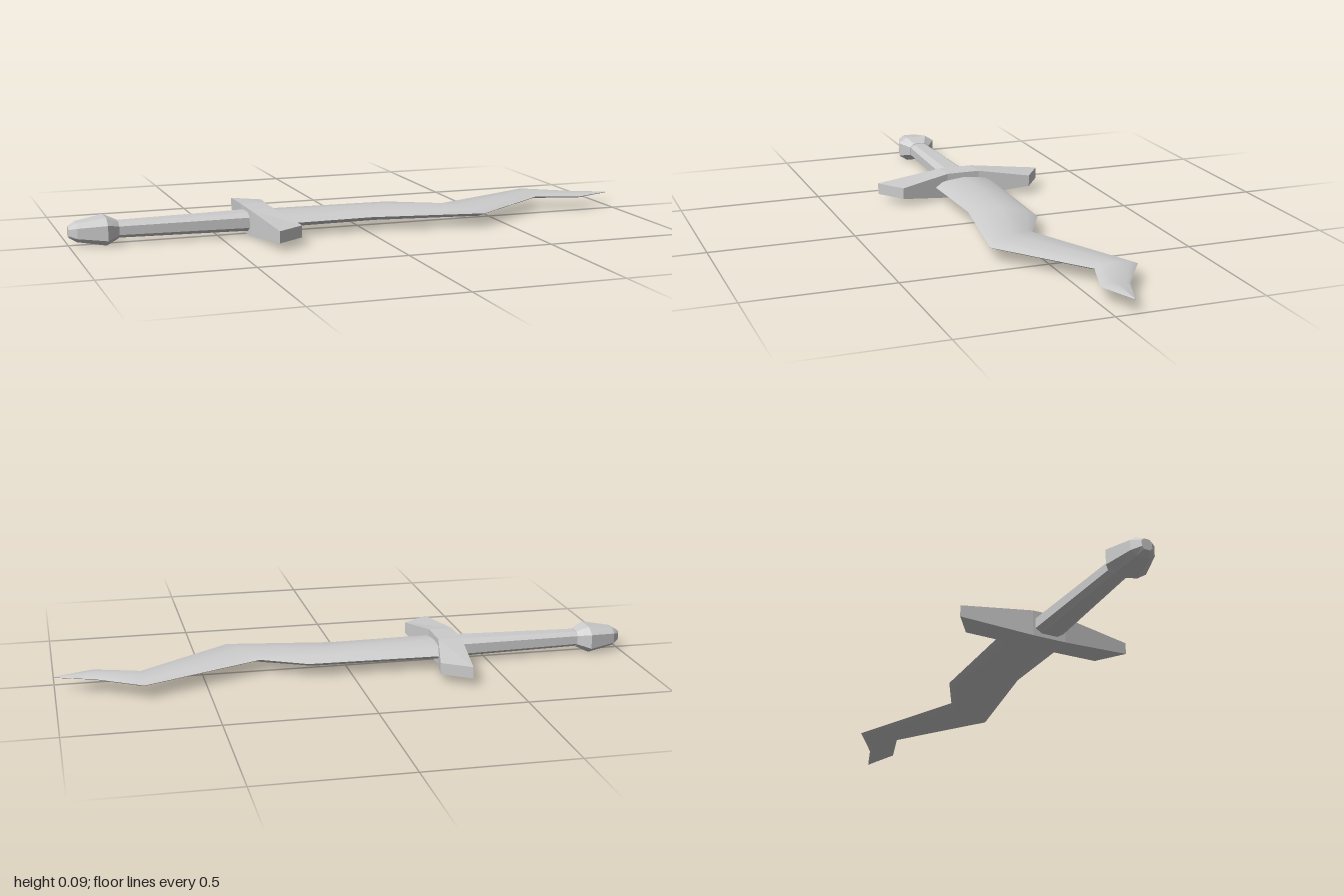
import * as THREE from 'three';
import { toCreasedNormals } from 'three/addons/utils/BufferGeometryUtils.js';

const MID = 0.046; // height of the sword's middle plane

// Skin a list of rings (each counter-clockwise about the direction of travel) and cap both ends
function loft(rings) {
  const n = rings[0].length;
  const index = [];
  for (let i = 0; i < rings.length - 1; i++) {
    for (let j = 0; j < n; j++) {
      const k = (j + 1) % n;
      const a = i * n + j, b = i * n + k, c = a + n, d = b + n;
      index.push(a, b, c, b, d, c);
    }
  }
  const last = (rings.length - 1) * n;
  for (let j = 1; j < n - 1; j++) {
    index.push(0, j + 1, j, last, last + j, last + j + 1);
  }
  const geometry = new THREE.BufferGeometry();
  geometry.setAttribute('position', new THREE.Float32BufferAttribute(rings.flat(2), 3));
  geometry.setIndex(index);
  return geometry;
}

// Chamfered rectangle across x, with half height h and half width w
function octagon(x, h, w, c = 0.55) {
  return [[1, -c], [1, c], [c, 1], [-c, 1], [-1, c], [-1, -c], [-c, -1], [c, -1]]
    .map(([y, z]) => [x, MID + y * h, z * w]);
}

// Blade section from back edge to front edge: ridge, shoulders and sharp edges
function bladeRing([bx, bz, fx, fz, h]) {
  const at = (t, y) => [
    THREE.MathUtils.lerp(bx, fx, t), MID + 0.001 + y * h, THREE.MathUtils.lerp(bz, fz, t),
  ];
  return [at(0, 0), at(0.13, 0.65), at(0.5, 1), at(0.87, 0.65),
    at(1, 0), at(0.87, -0.65), at(0.5, -1), at(0.13, -0.65)];
}

// Guard section across z; the ends are cut at a slant
function guardRing(back, front, backZ, frontZ, h) {
  return [[back, MID - h, backZ], [front, MID - h, frontZ],
    [front, MID + h, frontZ], [back, MID + h, backZ]];
}

export function createModel() {
  const group = new THREE.Group();
  const flat = new THREE.MeshStandardMaterial({ color: 0xcccccc, flatShading: true });
  const smooth = new THREE.MeshStandardMaterial({ color: 0xcccccc });
  const add = (name, geometry, material) => {
    geometry.computeVertexNormals();
    const mesh = new THREE.Mesh(geometry, material);
    mesh.name = name;
    group.add(mesh);
  };

  add('pommel', loft([
    octagon(-1, 0.018, 0.018),
    octagon(-0.975, 0.031, 0.042),
    octagon(-0.88, 0.046, 0.07),
    octagon(-0.838, 0.028, 0.038),
  ]), flat);

  add('grip', loft([
    octagon(-0.845, 0.026, 0.036),
    octagon(-0.38, 0.032, 0.052),
  ]), flat);

  add('guard', loft([
    guardRing(-0.37, -0.275, -0.308, -0.242, 0.02),
    guardRing(-0.4, -0.317, -0.06, -0.06, 0.045),
    guardRing(-0.4, -0.317, 0.06, 0.06, 0.045),
    guardRing(-0.37, -0.275, 0.308, 0.242, 0.02),
  ]), flat);

  // Wavy blade: back edge x, z, front edge x, z, half thickness
  const blade = loft([
    [-0.34, -0.115, -0.34, 0.11, 0.026],
    [0.15, -0.103, 0.02, 0.102, 0.024],
    [0.305, -0.022, 0.41, 0.167, 0.019],
    [0.715, -0.208, 0.715, -0.06, 0.013],
    [0.87, -0.108, 0.87, -0.01, 0.009],
    [1, -0.062, 1, -0.058, 0.002],
  ].map(bladeRing));
  add('blade', toCreasedNormals(blade, 0.7), smooth);
  // Keep the creased normals rather than the per-face ones
  group.getObjectByName('blade').geometry = toCreasedNormals(blade, 0.7);

  return group;
}
